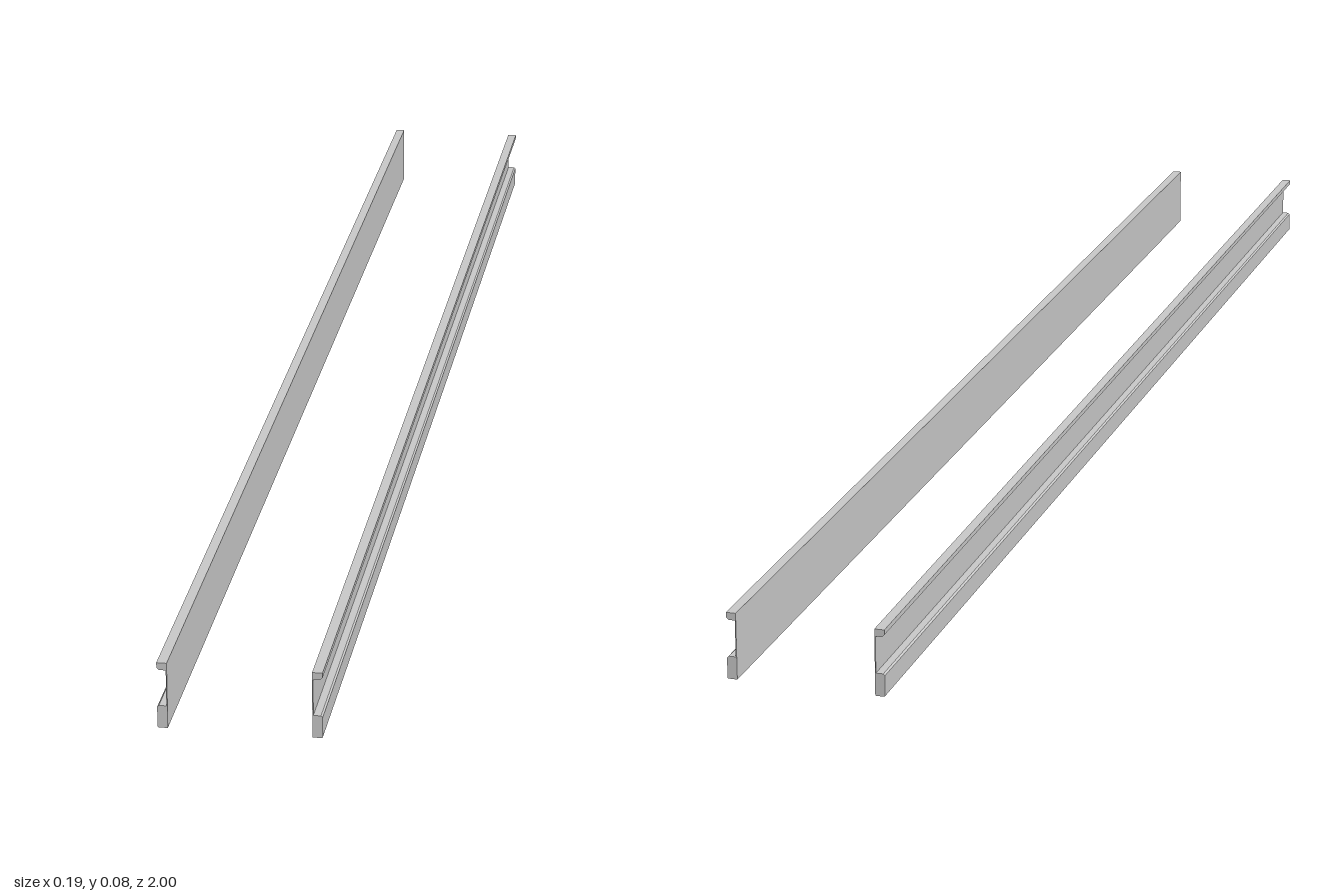
import * as THREE from 'three';

const LENGTH = 2;
const INNER = 0.084, OUTER = 0.096, WEB = 0.0852;

// Cross-section of the left rail: flat inner face, top lip, thin web, deep foot
const PROFILE = [
  [INNER, 0], [OUTER - 0.001, 0], [OUTER, 0.001],
  [OUTER, 0.026], [OUTER - 0.002, 0.028], [WEB, 0.028],
  [WEB, 0.073], [OUTER - 0.003, 0.073], [OUTER, 0.076],
  [OUTER, 0.082], [INNER, 0.082],
];

function makeRail(name, side, material) {
  const shape = new THREE.Shape(PROFILE.map(([x, y]) => new THREE.Vector2(side * x, y)));
  const geometry = new THREE.ExtrudeGeometry(shape, { depth: LENGTH, bevelEnabled: false });
  geometry.translate(0, 0, -LENGTH / 2);
  const rail = new THREE.Mesh(geometry, material);
  rail.name = name;
  return rail;
}

export function createModel() {
  const group = new THREE.Group();
  group.name = 'railPair';
  const material = new THREE.MeshStandardMaterial({ color: 0xcccccc, flatShading: true });

  // Mirrored pair, channels facing outward
  group.add(makeRail('leftRail', 1, material));
  group.add(makeRail('rightRail', -1, material));
  return group;
}
